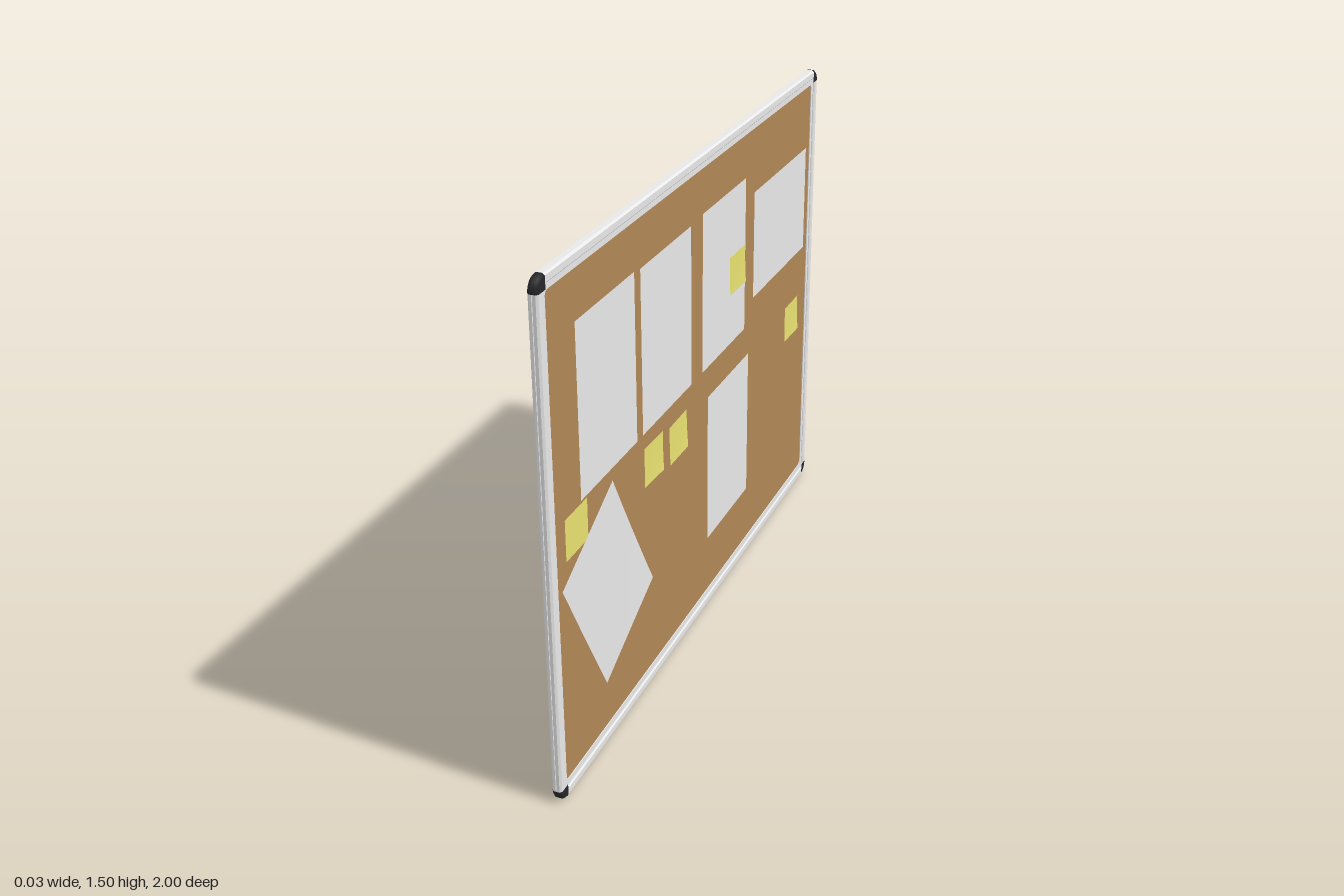
import * as THREE from 'three';

const W = 2, H = 1.5, CAP = 0.04;

const mat = (name, color, side = THREE.FrontSide) => {
  const m = new THREE.MeshStandardMaterial({ color, side });
  m.name = name;
  return m;
};

export function createModel() {
  const cork = mat('cork', 0xb08655);
  const metal = mat('aluminium', 0xf0f0f0);
  const black = mat('black plastic', 0x26262a);
  const paper = mat('white paper', 0xf4f4f4, THREE.DoubleSide);
  const yellow = mat('yellow paper', 0xf2ea76, THREE.DoubleSide);

  // Built facing +z around the board centre, then turned to face +x
  const board = new THREE.Group();
  board.name = 'noticeBoard';
  const add = (name, geometry, material) => {
    const mesh = new THREE.Mesh(geometry, material);
    mesh.name = name;
    board.add(mesh);
    return mesh;
  };

  // Cork panel
  add('corkPanel', new THREE.BoxGeometry(W - 0.07, H - 0.07, 0.016), cork).position.z = -0.004;

  // Inner lip of the frame, with a rounded opening
  const lip = new THREE.Shape();
  const lx = W / 2 - 0.02, ly = H / 2 - 0.02;
  lip.moveTo(-lx, -ly).lineTo(lx, -ly).lineTo(lx, ly).lineTo(-lx, ly).closePath();
  const hx = W / 2 - 0.045, hy = H / 2 - 0.046, r = 0.014;
  const hole = new THREE.Path();
  hole.absarc(hx - r, hy - r, r, 0, Math.PI / 2);
  hole.absarc(-hx + r, hy - r, r, Math.PI / 2, Math.PI);
  hole.absarc(-hx + r, -hy + r, r, Math.PI, Math.PI * 1.5);
  hole.absarc(hx - r, -hy + r, r, Math.PI * 1.5, Math.PI * 2);
  lip.holes.push(hole);
  const lipGeo = new THREE.ExtrudeGeometry(lip, { depth: 0.021, bevelEnabled: false, curveSegments: 6 });
  add('frameLip', lipGeo, metal).position.z = -0.0145;

  // Outer rails: chamfered profile (outward distance, depth), with a shallow groove
  const profile = [
    [-0.028, -0.0165], [-0.006, -0.0165], [-0.001, -0.011], [-0.001, -0.005], [-0.003, -0.004],
    [-0.003, -0.001], [-0.001, 0], [-0.001, 0.006], [-0.006, 0.0115], [-0.024, 0.0115], [-0.028, 0.008],
  ].map(p => new THREE.Vector2(...p));
  ['rightRail', 'topRail', 'leftRail', 'bottomRail'].forEach((name, k) => {
    const a = k * Math.PI / 2, c = Math.cos(a), s = Math.sin(a);
    const length = (k % 2 ? W : H) - 2 * CAP;
    const geo = new THREE.ExtrudeGeometry(new THREE.Shape(profile), { depth: length, bevelEnabled: false });
    geo.translate(k % 2 ? H / 2 : W / 2, 0, -length / 2);
    geo.applyMatrix4(new THREE.Matrix4().makeBasis(
      new THREE.Vector3(c, s, 0), new THREE.Vector3(0, 0, 1), new THREE.Vector3(s, -c, 0)));
    add(name, geo, metal);
  });

  // Rounded black corner caps
  const capProfile = [[0, -0.017], [CAP - 0.006, -0.017], [CAP, -0.011], [CAP, 0.006], [CAP - 0.006, 0.012], [0, 0.012]]
    .map(p => new THREE.Vector2(...p));
  for (let k = 0; k < 4; k++) {
    const geo = new THREE.LatheGeometry(capProfile, 8, 0, Math.PI / 2).rotateX(Math.PI / 2);
    const cap = add('cornerCap', geo, black);
    cap.rotation.z = k * Math.PI / 2;
    cap.position.set((k < 2 ? 1 : -1) * (W / 2 - CAP), (k === 1 || k === 2 ? 1 : -1) * (H / 2 - CAP), 0);
  }

  // Paper sheet whose lower edge lifts, most strongly at its right corner
  const sheet = (name, material, x, y, w, h, z, turn = 0, curl = 0) => {
    const geo = new THREE.PlaneGeometry(w, h, 6, 10);
    const p = geo.attributes.position;
    for (let i = 0; i < p.count; i++) {
      const t = (0.5 - p.getY(i) / h) * (0.8 + 0.4 * p.getX(i) / w);
      p.setZ(i, curl * t * t);
    }
    geo.computeVertexNormals();
    const mesh = add(name, geo, material);
    mesh.position.set(x, y - H / 2, z);
    mesh.rotation.z = THREE.MathUtils.degToRad(turn);
  };

  // Pinned sheets
  [
    [-0.636, 1.073, 0.347, 0.493], [-0.251, 1.07, 0.347, 0.487], [0.182, 1.073, 0.347, 0.493],
    [0.675, 1.076, 0.487, 0.348], [0.222, 0.48, 0.344, 0.492],
  ].forEach(([x, y, w, h]) => sheet('pinnedSheet', paper, x, y, w, h, 0.006));
  sheet('tiltedSheet', paper, -0.667, 0.494, 0.348, 0.492, 0.0085, 28, 0.0085);

  // Sticky notes
  [
    [-0.843, 0.761, 0], [-0.358, 0.72, -2], [-0.182, 0.704, 1], [0.287, 1.05, 0], [0.805, 0.682, 0],
  ].forEach(([x, y, turn]) => sheet('stickyNote', yellow, x, y, 0.127, 0.121, 0.0075, turn, x < -0.8 ? 0 : 0.004));

  board.rotation.y = Math.PI / 2;
  board.position.y = H / 2;
  const model = new THREE.Group();
  model.name = 'pinboard';
  model.add(board);
  return model;
}
